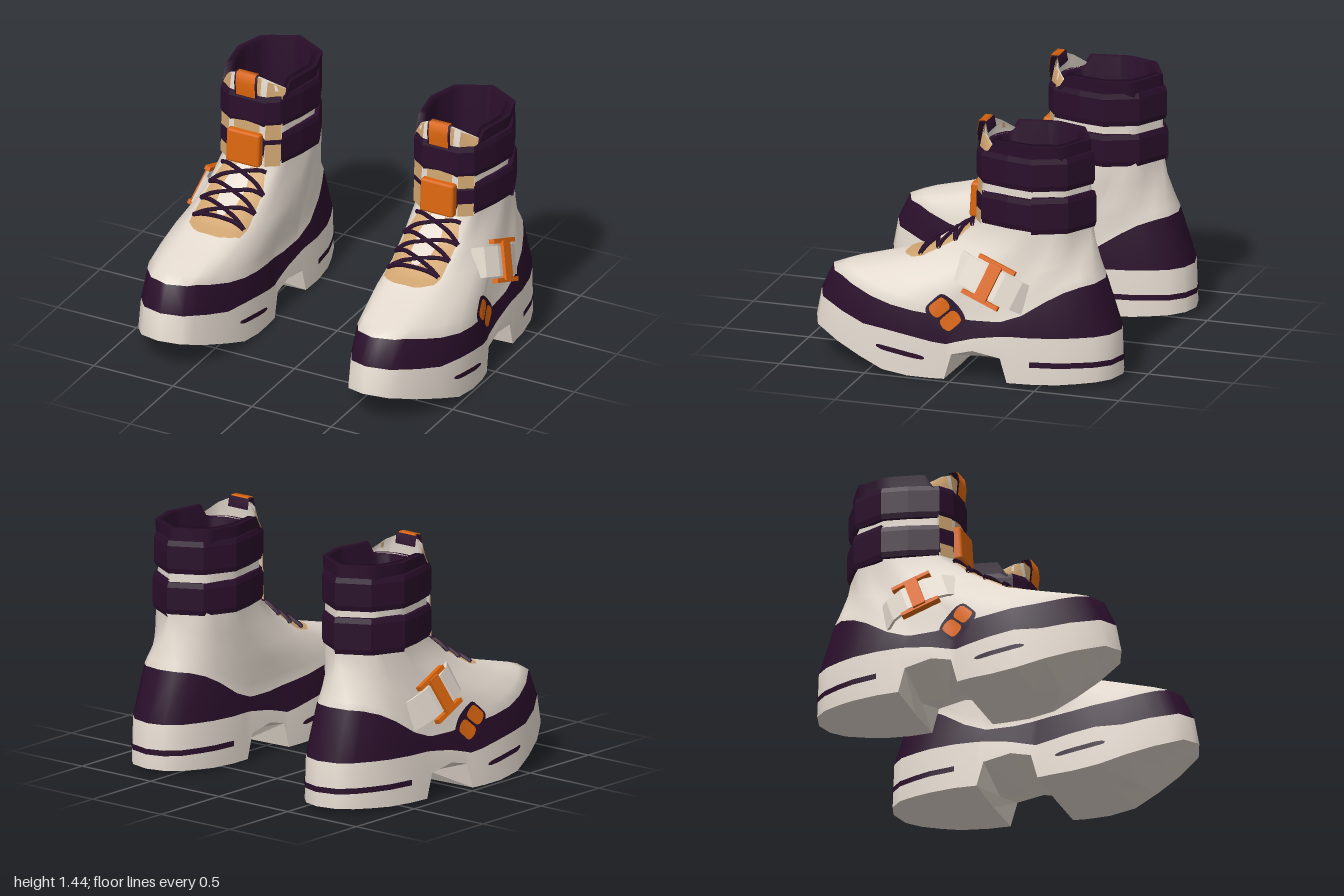
import * as THREE from 'three';
import { RoundedBoxGeometry } from 'three/addons/geometries/RoundedBoxGeometry.js';

const paint = (name, color) =>
  Object.assign(new THREE.MeshStandardMaterial({ color, side: THREE.DoubleSide }), { name });
const cream = paint('cream', 0xe4dacf), plum = paint('plum', 0x2a0f2b);
const orange = paint('orange', 0xdc660f), tan = paint('tan', 0xd0a571);

const lerp = THREE.MathUtils.lerp;
// Piecewise linear lookup in a table sorted by falling first value
function look(table, x, col = 1) {
  for (let i = 1; i < table.length; i++) {
    const a = table[i - 1], b = table[i];
    if (x >= b[0]) return lerp(a[col], b[col], Math.max(0, (a[0] - x) / (a[0] - b[0])));
  }
  return table[table.length - 1][col];
}

// Plan of the sole: z, inner x, outer x
const SOLE = [[0.9, 0.65, 0.65], [0.85, 0.53, 0.78], [0.7, 0.45, 0.88], [0.55, 0.40, 0.945], [0.36, 0.36, 1],
  [0.12, 0.365, 0.985], [0, 0.375, 0.96], [-0.3, 0.37, 0.94], [-0.5, 0.36, 0.93], [-0.65, 0.39, 0.89],
  [-0.8, 0.45, 0.81], [-0.87, 0.52, 0.74], [-0.9, 0.62, 0.62]];
// Plan of the collar: position from front (1) to back (-1), half width
const COLLAR = [[1, 0], [0.98, 0.45], [0.82, 0.78], [-0.1, 1], [-0.68, 0.78], [-1, 0]];
// Heights along the side: sole edge, sole centre line, lower and upper edge of the painted band
const EDGE = [[0.9, 0.2], [0.7, 0.13], [0.55, 0.08], [0.4, 0.03], [0.25, 0.01], [0.04, 0.005], [0, 0.15],
  [-0.12, 0.18], [-0.28, 0.15], [-0.32, 0.01], [-0.6, 0.015], [-0.9, 0.03]];
const KEEL = [[0.9, 0.2], [0.55, 0.01], [0.04, 0], [0, 0.06], [-0.28, 0.06], [-0.32, 0], [-0.9, 0.03]];
const LOW = [[0.9, 0.36], [0.55, 0.27], [0.4, 0.265], [0.2, 0.235], [0.05, 0.205], [-0.1, 0.25], [-0.3, 0.28], [-0.9, 0.29]];
const HIGH = [[0.9, 0.51], [0.8, 0.5], [0.6, 0.44], [0.3, 0.39], [-0.2, 0.345], [-0.38, 0.365], [-0.52, 0.44],
  [-0.65, 0.52], [-0.78, 0.565], [-0.9, 0.58]];

const US = [0.9, 0.882, 0.85, 0.78, 0.7, 0.55, 0.4, 0.25, 0.12, 0.04, 0, -0.12, -0.28, -0.32, -0.45, -0.6,
  -0.7, -0.8, -0.87, -0.9].map(z => z / 0.9);
const M = US.length, N = 2 * M - 2;

// Closed ring: front, outer side, back, inner side. k blends the sole plan into the collar plan.
function ring(zf, zb, y, k, scale, hw = 0.235) {
  return Array.from({ length: N }, (_, i) => {
    const u = US[i < M ? i : N - i], side = i < M ? 1 : -1;
    const a = look(SOLE, u * 0.9, 1), b = look(SOLE, u * 0.9, 2);
    const half = lerp((b - a) / 2 * scale, hw * look(COLLAR, u), k);
    return [lerp((a + b) / 2, 0.61, k) + side * half, y(u), lerp(zb, zf, (u + 1) / 2)];
  });
}

// Surface through rows of points; bands lists [first row, material index]
function grid(rows, closed = false, bands = null) {
  const n = rows[0].length, index = [], geo = new THREE.BufferGeometry();
  const per = (closed ? n : n - 1) * 6;
  for (let r = 0; r < rows.length - 1; r++)
    for (let i = 0; i < (closed ? n : n - 1); i++) {
      const j = (i + 1) % n, a = r * n + i, b = r * n + j, c = b + n, d = a + n;
      index.push(a, b, c, a, c, d);
    }
  geo.setAttribute('position', new THREE.Float32BufferAttribute(rows.flat(2), 3));
  geo.setIndex(index);
  geo.computeVertexNormals();
  if (bands) bands.forEach(([r, m], i) => {
    const end = i + 1 < bands.length ? bands[i + 1][0] : rows.length - 1;
    geo.addGroup(r * per, (end - r) * per, m);
  });
  return geo;
}
function flat(geo) {
  const g = geo.toNonIndexed();
  g.computeVertexNormals();
  return g;
}

function buildBoot() {
  const boot = new THREE.Group();
  const add = (name, geo, mat) => {
    const mesh = new THREE.Mesh(geo, mat);
    mesh.name = name;
    boot.add(mesh);
    return mesh;
  };

  // Boot shell, from the sole edge up to the collar
  const upper = (yF, yB, fade) => u => {
    const t = (u + 1) / 2;
    return lerp(yB, yF, t) + fade * (look(HIGH, u * 0.9) - lerp(0.58, 0.51, t));
  };
  const rim = u => (u > 0.7 ? 1.3 : 1.38);
  const rows = [
    ring(0.9, -0.895, u => look(EDGE, u * 0.9), 0, 1),
    ring(0.87, -0.885, u => look(LOW, u * 0.9), 0, 0.985),
    ring(0.8, -0.79, upper(0.51, 0.58, 1), 0, 0.93),
    ring(0.72, -0.775, upper(0.535, 0.62, 0.8), 0.1, 0.92),
    ring(0.55, -0.76, upper(0.575, 0.67, 0.5), 0.35, 0.96),
    ring(0.3, -0.745, upper(0.64, 0.73, 0.3), 0.6, 0.96),
    ring(0.1, -0.73, upper(0.75, 0.79, 0.1), 0.85, 0.95),
    ring(-0.06, -0.715, () => 0.87, 1, 1, 0.235),
    ring(-0.08, -0.7, () => 1.13, 1, 1, 0.225),
    ring(-0.085, -0.7, rim, 1, 1, 0.25)];
  const shell = add('bootShell', grid(rows, true, [[0, 0], [1, 1], [2, 0], [8, 1]]), [cream, plum]);
  add('collarLining', grid([rows[9], ring(-0.13, -0.65, rim, 1, 1, 0.2),
    ring(-0.15, -0.63, () => 0.86, 1, 1, 0.19)], true), plum);
  const floor = ring(-0.15, -0.63, () => 0.86, 1, 1, 0.19);
  add('insole', grid(US.map((_, j) => [floor[(N - j) % N], floor[j]])), cream);
  add('outsole', flat(grid(US.map((u, j) => {
    const a = rows[0][j], b = rows[0][(N - j) % N];
    return [a, [(a[0] + b[0]) / 2, look(KEEL, u * 0.9), a[2]], b];
  }))), cream);

  // Projection of details on to the shell
  const ray = new THREE.Raycaster();
  const hit = (from, dir) => {
    ray.set(new THREE.Vector3(...from), new THREE.Vector3(...dir));
    return ray.intersectObject(shell)[0]?.point;
  };
  const drop = (x, z, lift) => [x, (hit([x, 3, z], [0, -1, 0])?.y ?? 0.8) + lift, z];
  const onSide = (side, y, z, lift) => {
    const x = hit([side > 0 ? 2 : 0, y, z], [-side, 0, 0])?.x ?? 0.65;
    return [x + side * lift, y, z];
  };
  // Rounded plate on the side wall from (z0, y0) to (z1, y1)
  function decal(name, mat, side, z0, y0, z1, y1, hw, lift) {
    const len = Math.hypot(z1 - z0, y1 - y0), nz = -(y1 - y0) / len, ny = (z1 - z0) / len;
    add(name, grid(Array.from({ length: 17 }, (_, i) => {
      const t = Math.sin((i / 16 - 0.5) * Math.PI), s = (t + 1) / 2;
      const w = hw * Math.sqrt(Math.max(0, 1 - Math.abs(t) ** 6));
      return [-1, -0.5, 0, 0.5, 1].map(v =>
        onSide(side, lerp(y0, y1, s) + v * w * ny, lerp(z0, z1, s) + v * w * nz, lift));
    })), mat);
  }
  decal('sidePatch', plum, 1, 0.1, 0.32, -0.02, 0.44, 0.105, 0.006);
  decal('sideInlayFront', orange, 1, 0.115, 0.38, 0.03, 0.455, 0.042, 0.013);
  decal('sideInlayRear', orange, 1, 0.05, 0.305, -0.035, 0.385, 0.042, 0.013);
  for (const side of [1, -1]) decal('foreSoleStripe', plum, side, 0.44, 0.165, 0.15, 0.12, 0.014, 0.006);

  // Stripe around the heel wall
  const heel = [];
  for (let i = 14; i <= N - 14; i++)
    heel.push([0.113, 0.145].map(y => {
      const a = rows[0][i], b = rows[1][i], t = (y - a[1]) / (b[1] - a[1]);
      return [0.64 + (lerp(a[0], b[0], t) - 0.64) * 1.02, y, -0.4 + (lerp(a[2], b[2], t) + 0.4) * 1.012];
    }));
  add('heelSoleStripe', grid(heel), plum);

  // Lacing panel with a lighter tongue strip and crossed laces
  const panel = (name, mat, table, lift) => {
    const z0 = table[0][0], z1 = table[table.length - 1][0];
    add(name, grid(Array.from({ length: 25 }, (_, r) => {
      const z = lerp(z0, z1, r / 24), w = look(table, z);
      return Array.from({ length: 13 }, (_, i) => drop(0.615 + w * (i / 6 - 1), z, lift));
    })), mat);
  };
  panel('lacePanel', tan, [[0.37, 0.06], [0.35, 0.11], [0.3, 0.16], [0.24, 0.17], [0.02, 0.16], [-0.05, 0.13]], 0.008);
  panel('tongueStrip', cream, [[0.24, 0.01], [0.18, 0.06], [0.05, 0.07], [-0.05, 0.04]], 0.014);
  const lace = (x0, z0, x1, z1) => {
    const pts = Array.from({ length: 9 }, (_, i) =>
      new THREE.Vector3(...drop(0.615 + lerp(x0, x1, i / 8), lerp(z0, z1, i / 8), 0.018)));
    add('lace', new THREE.TubeGeometry(new THREE.CatmullRomCurve3(pts), 12, 0.013, 5), plum);
  };
  const eyelets = [[0.25, 0.16], [0.14, 0.17], [0.04, 0.17], [-0.05, 0.14]];
  lace(-0.16, 0.25, 0.16, 0.25);
  for (let i = 0; i < 3; i++)
    for (const s of [1, -1]) lace(s * eyelets[i][1], eyelets[i][0], -s * eyelets[i + 1][1], eyelets[i + 1][0]);

  // Tongue standing inside the collar
  const tongue = (name, mat, dxs, lift) => add(name, grid([0, 1, 2].map(r => dxs.map(dx => {
    const d = Math.abs(dx);
    const top = look([[0.19, 1.33], [0.13, 1.39], [0.07, 1.42], [0, 1.425]], d);
    const back = look([[0.19, 0.06], [0.11, 0.005], [0, 0]], d) * (r === 2 ? 1.7 : 1);
    return [0.61 + dx, [0.88, 1.3, top][r], [-0.055, -0.075, -0.09][r] - back + lift];
  }))), mat);
  tongue('tongueLining', cream, [-0.19, -0.13, -0.07, 0, 0.07, 0.13, 0.19], -0.008);
  for (const s of [1, -1]) {
    tongue('tongueEdge', tan, [0.19 * s, 0.15 * s, 0.115 * s], 0);
    tongue('tongueStripe', cream, [0.115 * s, 0.08 * s], 0);
  }
  tongue('tongueCentre', tan, [-0.08, 0, 0.08], 0);
  const tab = (name, mat, w, lift) => add(name, grid(
    [[1.3, -0.058], [1.38, -0.05], [1.44, -0.06], [1.44, -0.1], [1.38, -0.112]].map(([y, z]) =>
      [[0.61 - w, y - lift, z - lift], [0.61 + w, y - lift, z - lift]])), mat);
  tab('pullTab', orange, 0.06, 0);
  tab('pullTabBacking', plum, 0.072, 0.006);

  // Ankle bands
  const PLAN = [[0.11, 0.325], [0.19, 0.27], [0.24, 0.1], [0.265, -0.05], [0.18, -0.235], [0, -0.335],
    [-0.18, -0.235], [-0.265, -0.05], [-0.24, 0.1], [-0.19, 0.27], [-0.11, 0.325]];
  function band(name, y0, y1, grow, from = 0, to = PLAN.length) {
    const pts = PLAN.slice(from, to);
    const prof = [[y0, 0.88], [y0, 0.97], [y0 + 0.03, 1], [y1 - 0.03, 1], [y1, 0.97], [y1, 0.88]];
    add(name, flat(grid(prof.map(([y, s]) =>
      pts.map(([x, z]) => [0.612 + x * s * grow, y, -0.39 + z * s * grow])), to - from === PLAN.length)), plum);
  }
  band('upperAnkleBand', 1.12, 1.31, 1);
  band('lowerAnkleBand', 0.885, 1.07, 1);
  band('ankleBandFlap', 0.872, 1.082, 1.025, 3, 6);
  const clasp = new RoundedBoxGeometry(0.21, 0.2, 0.06, 1, 0.015);
  clasp.rotateX(-0.06).translate(0.613, 0.984, -0.052);
  add('frontClasp', clasp, orange);

  // Raised strap with an H-shaped buckle on the outer side
  const normal = new THREE.Vector3(0.95, 0.3, -0.05).normalize();
  const along = new THREE.Vector3(0, -0.38, -0.925);
  along.addScaledVector(normal, -along.dot(normal)).normalize();
  const place = new THREE.Matrix4().makeBasis(along, normal, new THREE.Vector3().crossVectors(along, normal));
  place.setPosition(...onSide(1, 0.58, -0.21, 0.015));
  const arc = [[-0.23, -0.04], [-0.17, 0.01], [-0.07, 0.04], [0.07, 0.04], [0.17, 0.01], [0.23, -0.04]];
  const outline = [...arc, ...arc.map(([s, n]) => [s * 0.97, n - 0.015]).reverse()];
  const strap = new THREE.ExtrudeGeometry(new THREE.Shape(outline.map(p => new THREE.Vector2(...p))),
    { depth: 0.17, bevelEnabled: false });
  add('sideStrap', strap.translate(0, 0, -0.085).applyMatrix4(place), cream);
  add('buckleBar', new THREE.BoxGeometry(0.075, 0.03, 0.22).translate(0, 0.045, 0).applyMatrix4(place), orange);
  for (const s of [1, -1])
    add('buckleEnd', new THREE.BoxGeometry(0.23, 0.035, 0.025).translate(0, 0.03, s * 0.11).applyMatrix4(place), orange);
  return boot;
}

// Mirror a boot across x = 0, turning the faces round
function mirrored(boot) {
  const out = new THREE.Group();
  for (const mesh of boot.children) {
    const geo = mesh.geometry.clone().scale(-1, 1, 1);
    const idx = geo.index ? Array.from(geo.index.array) : Array.from({ length: geo.attributes.position.count }, (_, i) => i);
    for (let i = 0; i < idx.length; i += 3) [idx[i + 1], idx[i + 2]] = [idx[i + 2], idx[i + 1]];
    geo.setIndex(idx);
    const copy = new THREE.Mesh(geo, mesh.material);
    copy.name = mesh.name;
    out.add(copy);
  }
  return out;
}

export function createModel() {
  const model = new THREE.Group();
  model.name = 'boots';
  const left = buildBoot(), right = mirrored(left);
  left.name = 'leftBoot';
  right.name = 'rightBoot';
  model.add(left, right);
  return model;
}
